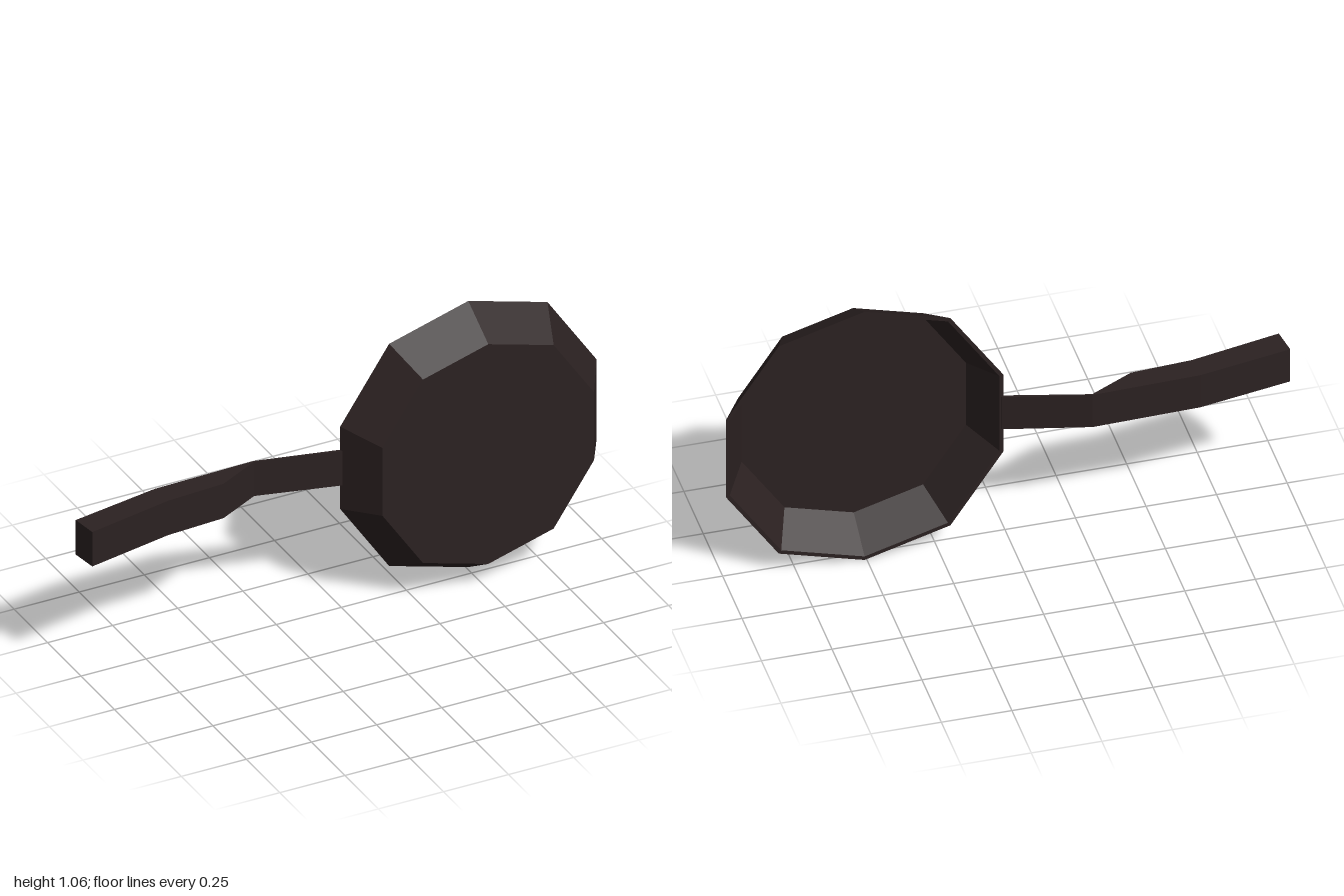
import * as THREE from 'three';

export function createModel() {
  const group = new THREE.Group();
  const iron = new THREE.MeshStandardMaterial({ color: 0x2b2121, flatShading: true });
  iron.name = 'dark iron';

  // Ten-sided pan: inner floor, inner wall, thin rim, outer wall, outer base
  const profile = [
    [0, 0.1], [0.428, 0.1], [0.515, -0.04], [0.53, -0.04], [0.4375, 0.11], [0, 0.11],
  ].map(([r, h]) => new THREE.Vector2(r, h));
  const panGeometry = new THREE.LatheGeometry(profile, 10);
  panGeometry.rotateX(Math.PI / 2); // opening towards the back
  const pos = panGeometry.attributes.position;
  for (let i = 0; i < pos.count; i++) {
    const x = pos.getX(i), y = pos.getY(i);
    const sine = Math.abs(x) / (Math.hypot(x, y) || 1);
    // slightly narrow outline with raised shoulders
    pos.setX(i, x * 0.976);
    if (sine > 0.5 && sine < 0.7) pos.setY(i, y * 1.032);
  }
  panGeometry.computeVertexNormals();
  const pan = new THREE.Mesh(panGeometry, iron);
  pan.name = 'pan';
  pan.position.set(0.508, 0.53, 0);
  group.add(pan);

  // Handle outlines in plan (x, z), extruded upwards
  const addBar = (name, points) => {
    const shape = new THREE.Shape(points.map(([x, z]) => new THREE.Vector2(x, -z)));
    const geometry = new THREE.ExtrudeGeometry(shape, { depth: 0.137, bevelEnabled: false });
    geometry.rotateX(-Math.PI / 2);
    const bar = new THREE.Mesh(geometry, iron);
    bar.name = name;
    bar.position.y = 0.463;
    group.add(bar);
  };
  addBar('handleNeck', [[0.022, -0.042], [-0.28, -0.112], [-0.28, -0.107], [0.028, -0.03]]);
  addBar('handleGrip', [
    [-0.28, -0.112], [-0.665, -0.101], [-1, -0.04], [-0.986, 0.057],
    [-0.66, -0.01], [-0.44, -0.024], [-0.28, -0.107],
  ]);
  return group;
}
